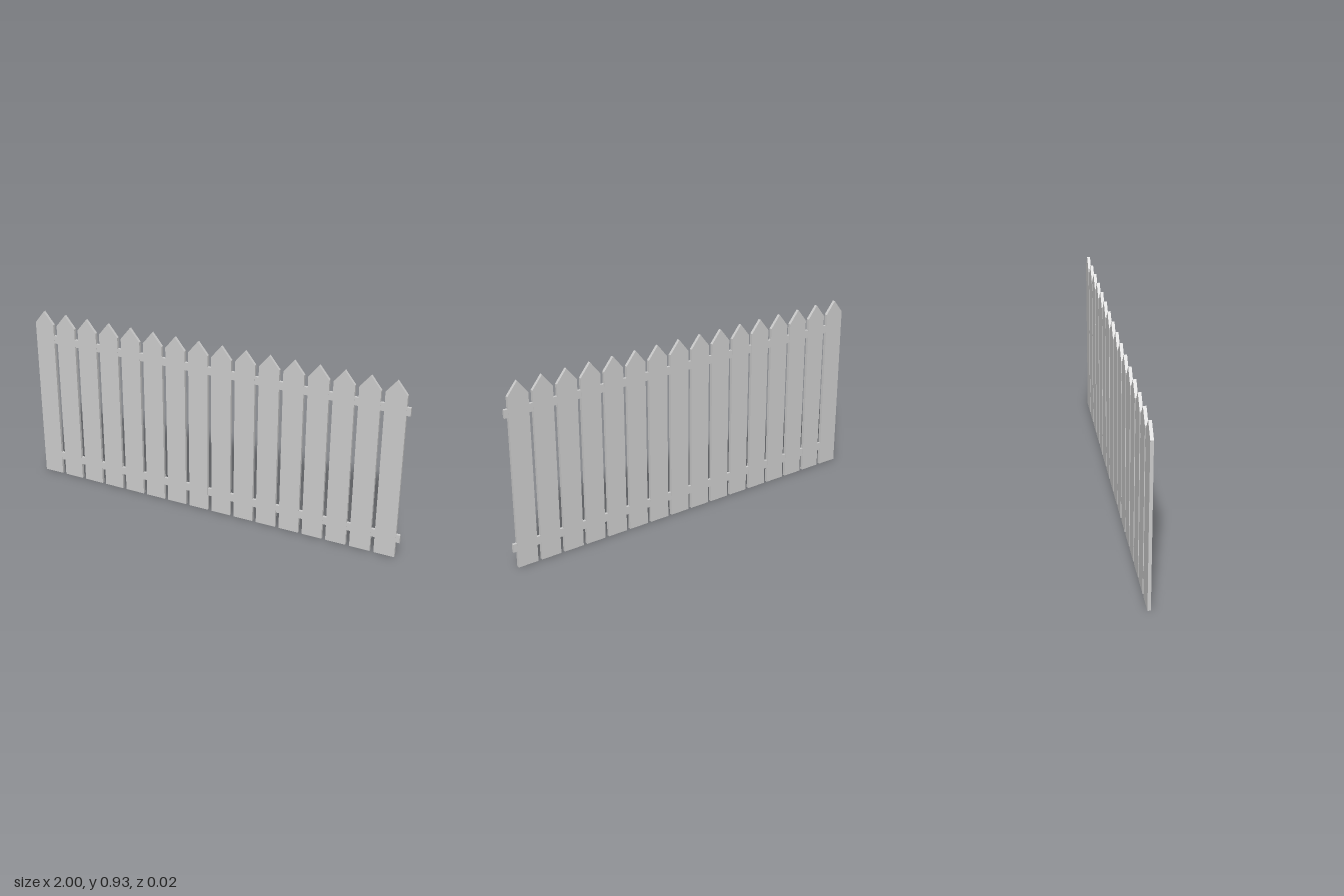
import * as THREE from 'three';

const COUNT = 16, PITCH = 0.125, WIDTH = 0.105, DEPTH = 0.0155;
const SHOULDER = 0.866, PEAK = 0.932;

export function createModel() {
  const fence = new THREE.Group();
  fence.name = 'picketFence';
  const material = new THREE.MeshStandardMaterial({ color: 0xcccccc, flatShading: true });

  // Pointed board outline, shared by all pickets
  const outline = new THREE.Shape([
    [0, 0], [WIDTH, 0], [WIDTH, SHOULDER], [WIDTH / 2, PEAK], [0, SHOULDER],
  ].map(([x, y]) => new THREE.Vector2(x, y)));
  const board = new THREE.ExtrudeGeometry(outline, { depth: DEPTH, bevelEnabled: false });
  board.translate(0, 0, -DEPTH / 2);

  for (let i = 0; i < COUNT; i++) {
    const picket = new THREE.Mesh(board, material);
    picket.name = `picket${i + 1}`;
    picket.position.x = -1 + i * PITCH;
    fence.add(picket);
  }

  // Two rails behind the board faces, sticking out past the last picket
  const railStart = -0.99, railEnd = 1;
  const addRail = (name, bottom, top) => {
    const rail = new THREE.Mesh(
      new THREE.BoxGeometry(railEnd - railStart, top - bottom, 0.0135), material);
    rail.name = name;
    rail.position.set((railStart + railEnd) / 2, (bottom + top) / 2, 0.0005);
    fence.add(rail);
  };
  addRail('lowerRail', 0.086, 0.128);
  addRail('upperRail', 0.767, 0.808);

  return fence;
}
